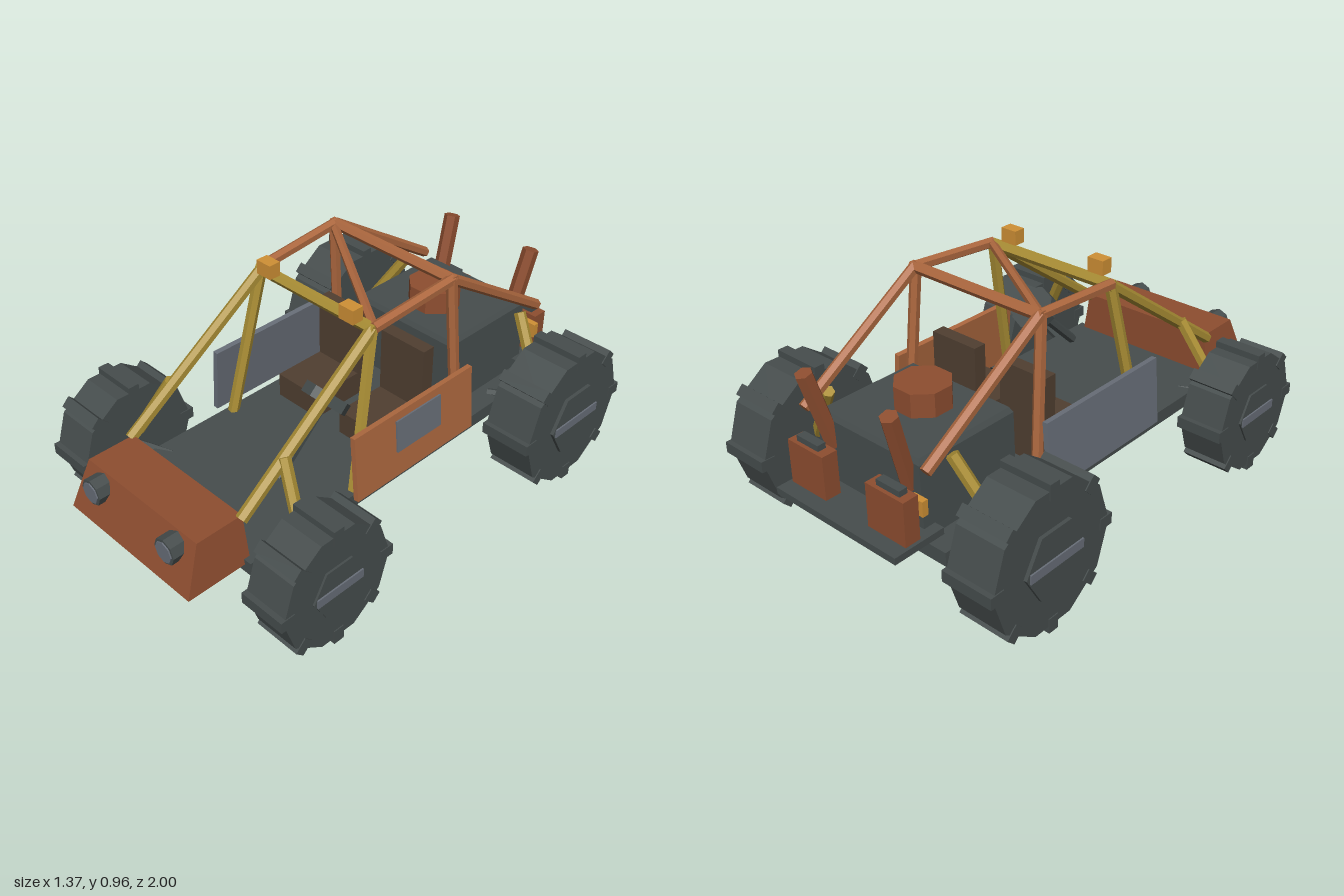
import * as THREE from 'three';

const mat = (name, color) => {
  const m = new THREE.MeshStandardMaterial({ color, flatShading: true });
  m.name = name;
  return m;
};

export function createModel() {
  const rust = mat('rust', 0x8e4e30);
  const copper = mat('copper', 0xad683f);
  const yellow = mat('yellow', 0xab8f35);
  const amber = mat('amber', 0xcf9035);
  const dark = mat('dark grey', 0x464d4d);
  const brown = mat('seat brown', 0x503f31);
  const steel = mat('steel', 0x686e78);

  const car = new THREE.Group();
  car.name = 'buggy';

  const add = (name, geo, material, x = 0, y = 0, z = 0, parent = car) => {
    const m = new THREE.Mesh(geo, material);
    m.name = name;
    m.position.set(x, y, z);
    parent.add(m);
    return m;
  };
  // Box given by its min and max corners
  const box = (name, material, [x0, y0, z0], [x1, y1, z1], parent = car) =>
    add(name, new THREE.BoxGeometry(x1 - x0, y1 - y0, z1 - z0), material,
      (x0 + x1) / 2, (y0 + y1) / 2, (z0 + z1) / 2, parent);
  // Straight rod between two points
  const bar = (name, material, a, b, r = 0.022, sides = 6) => {
    const p = new THREE.Vector3(...a), q = new THREE.Vector3(...b);
    const d = q.clone().sub(p);
    const m = add(name, new THREE.CylinderGeometry(r, r, d.length(), sides), material);
    m.position.copy(p).add(q).multiplyScalar(0.5);
    m.quaternion.setFromUnitVectors(new THREE.Vector3(0, 1, 0), d.normalize());
    return m;
  };
  // Box whose top face is moved to other extents
  const taperedBox = (bx, tx, y0, y1, [bz0, bz1], [tz0, tz1]) => {
    const g = new THREE.BoxGeometry(2, 2, 2);
    const p = g.attributes.position;
    for (let i = 0; i < p.count; i++) {
      const top = p.getY(i) > 0;
      const [z0, z1] = top ? [tz0, tz1] : [bz0, bz1];
      p.setXYZ(i, p.getX(i) * (top ? tx : bx), top ? y1 : y0, p.getZ(i) > 0 ? z1 : z0);
    }
    g.computeVertexNormals();
    return g;
  };

  // Chassis, nose and rear bumper
  box('floorPan', dark, [-0.36, 0.217, -0.835], [0.36, 0.273, 0.755]);
  box('rearBumper', dark, [-0.3, 0.29, -1], [0.3, 0.317, -0.78]);
  add('nose', taperedBox(0.33, 0.3, 0.252, 0.442, [0.73, 1], [0.73, 0.925]), rust);

  // Engine and air filter
  add('engine', taperedBox(0.26, 0.25, 0.27, 0.56, [-0.83, -0.38], [-0.83, -0.38]), dark);
  add('engineCover', taperedBox(0.25, 0.238, 0.56, 0.58, [-0.83, -0.38], [-0.82, -0.39]), dark);
  const filter = add('airFilter', new THREE.CylinderGeometry(0.108, 0.108, 0.095, 8), rust, 0, 0.625, -0.565);
  filter.rotation.y = Math.PI / 8;

  // Steering wheel on its column
  bar('steeringColumn', dark, [0.178, 0.37, 0.46], [0.178, 0.595, 0.22], 0.02);
  bar('steeringWheel', dark, [0.178, 0.58, 0.235], [0.178, 0.61, 0.203], 0.092, 8);

  // Wheel: ten-sided tyre, eight treads, hexagonal hub and a cross bar
  const wheel = (name, side, r, tread, x0, x1, y, z, hubR, hubOut) => {
    const g = new THREE.Group();
    g.name = name;
    g.position.set(side * (x0 + x1) / 2, y, z);
    if (side < 0) g.rotation.y = Math.PI;
    car.add(g);
    const w = x1 - x0;
    const disc = (part, radius, sides, width, x) => {
      const geo = new THREE.CylinderGeometry(radius, radius, width, sides);
      geo.rotateY(Math.PI / 2);
      geo.rotateZ(-Math.PI / 2);
      geo.rotateX(Math.PI / 2);
      return add(part, geo, dark, x, 0, 0, g);
    };
    const tyre = disc('tyre', r, 10, w, 0);
    const hub = disc('hub', hubR, 6, 0.05 + hubOut, w / 2 + hubOut / 2 - 0.025);
    tyre.rotation.x = hub.rotation.x = Math.PI / 2;
    // A vertex of tyre and hub points along z
    for (const m of [tyre, hub]) {
      const p = m.geometry.attributes.position;
      let best = 0;
      for (let i = 0; i < p.count; i++) {
        if (Math.hypot(p.getY(i), p.getZ(i)) > 0.05) { best = Math.atan2(p.getZ(i), p.getY(i)); break; }
      }
      m.rotation.x = Math.PI / 2 - best;
    }
    for (let i = 0; i < 8; i++) {
      const a = i * Math.PI / 4, d = tread - 0.03;
      const t = add('tread', new THREE.BoxGeometry(w + 0.008, 0.06, 0.045), dark, 0, Math.cos(a) * d, Math.sin(a) * d, g);
      t.rotation.x = a;
    }
    box('hubBar', steel, [w / 2, -0.018, -hubR * 0.9], [w / 2 + hubOut + 0.006, 0.018, hubR * 0.9], g);
  };

  for (const s of [-1, 1]) {
    const side = s > 0 ? 'left' : 'right';
    wheel(side + 'FrontWheel', s, 0.246, 0.26, 0.45, 0.635, 0.263, 0.61, 0.118, 0.008);
    wheel(side + 'RearWheel', s, 0.284, 0.297, 0.46, 0.664, 0.3, -0.65, 0.145, 0.014);

    // Suspension arms and struts
    bar('frontArm', dark, [s * 0.3, 0.255, 0.57], [s * 0.48, 0.265, 0.645], 0.02);
    bar('rearArm', dark, [s * 0.3, 0.265, -0.58], [s * 0.48, 0.29, -0.65], 0.02);
    bar('frontStrut', yellow, [s * 0.305, 0.585, 0.54], [s * 0.46, 0.31, 0.6], 0.024);
    bar('rearStrut', yellow, [s * 0.305, 0.585, -0.735], [s * 0.47, 0.32, -0.675], 0.024);

    // Roll cage sides
    bar('frontStay', yellow, [s * 0.285, 0.885, 0.1], [s * 0.305, 0.43, 0.74], 0.023);
    bar('frontPillar', yellow, [s * 0.285, 0.89, 0.1], [s * 0.335, 0.26, 0.235], 0.023);
    bar('roofRail', copper, [s * 0.29, 0.89, 0.1], [s * 0.3, 0.92, -0.3]);
    bar('rearPillar', copper, [s * 0.3, 0.92, -0.295], [s * 0.325, 0.26, -0.345]);
    bar('rearStay', copper, [s * 0.3, 0.92, -0.3], [s * 0.3, 0.57, -0.85]);

    // Roof lamps and headlights
    box('roofLamp', amber, [s * 0.21 - 0.035, 0.905, 0.105], [s * 0.21 + 0.035, 0.962, 0.155]);
    bar('headlight', dark, [s * 0.205, 0.385, 0.92], [s * 0.205, 0.385, 0.99], 0.052, 8);
    bar('headlightLens', steel, [s * 0.205, 0.385, 0.988], [s * 0.205, 0.385, 0.995], 0.042, 8);

    // Seats
    box('seatCushion', brown, [s * 0.17 - 0.108, 0.27, -0.24], [s * 0.17 + 0.108, 0.375, 0.035]);
    box('seatBack', brown, [s * 0.17 - 0.108, 0.27, -0.245], [s * 0.17 + 0.108, 0.642, -0.19]);

    // Mufflers with pipes, clamps and tail lamps
    box('muffler', rust, [s * 0.197 - 0.09, 0.315, -0.94], [s * 0.197 + 0.09, 0.492, -0.875]);
    box('mufflerClamp', dark, [s * 0.2 - 0.055, 0.49, -0.925], [s * 0.2 + 0.055, 0.515, -0.89]);
    bar('exhaustPipe', rust, [s * 0.19, 0.46, -0.82], [s * 0.207, 0.765, -0.905], 0.033);
    box('tailLamp', amber, [s * 0.275 - 0.03, 0.41, -0.875], [s * 0.275 + 0.03, 0.47, -0.85]);

    // Leaning side panels, one with a riveted steel patch
    const panel = new THREE.Group();
    panel.name = side + 'SidePanel';
    panel.position.set(s * 0.38, 0.414, -0.037);
    panel.rotation.z = s * 0.08;
    car.add(panel);
    add('panel', new THREE.BoxGeometry(0.022, 0.275, 0.63), s > 0 ? copper : steel, 0, 0, 0, panel);
    if (s > 0) add('patch', new THREE.BoxGeometry(0.008, 0.135, 0.238), steel, 0.014, 0.038, -0.011, panel);
  }

  // Roll cage cross members
  bar('windscreenBar', yellow, [-0.3, 0.885, 0.1], [0.3, 0.885, 0.1], 0.023);
  bar('rearHoopBar', copper, [-0.315, 0.918, -0.3], [0.315, 0.918, -0.3]);
  bar('roofDiagonal', copper, [-0.295, 0.912, -0.29], [0.28, 0.89, 0.09], 0.018);

  return car;
}
